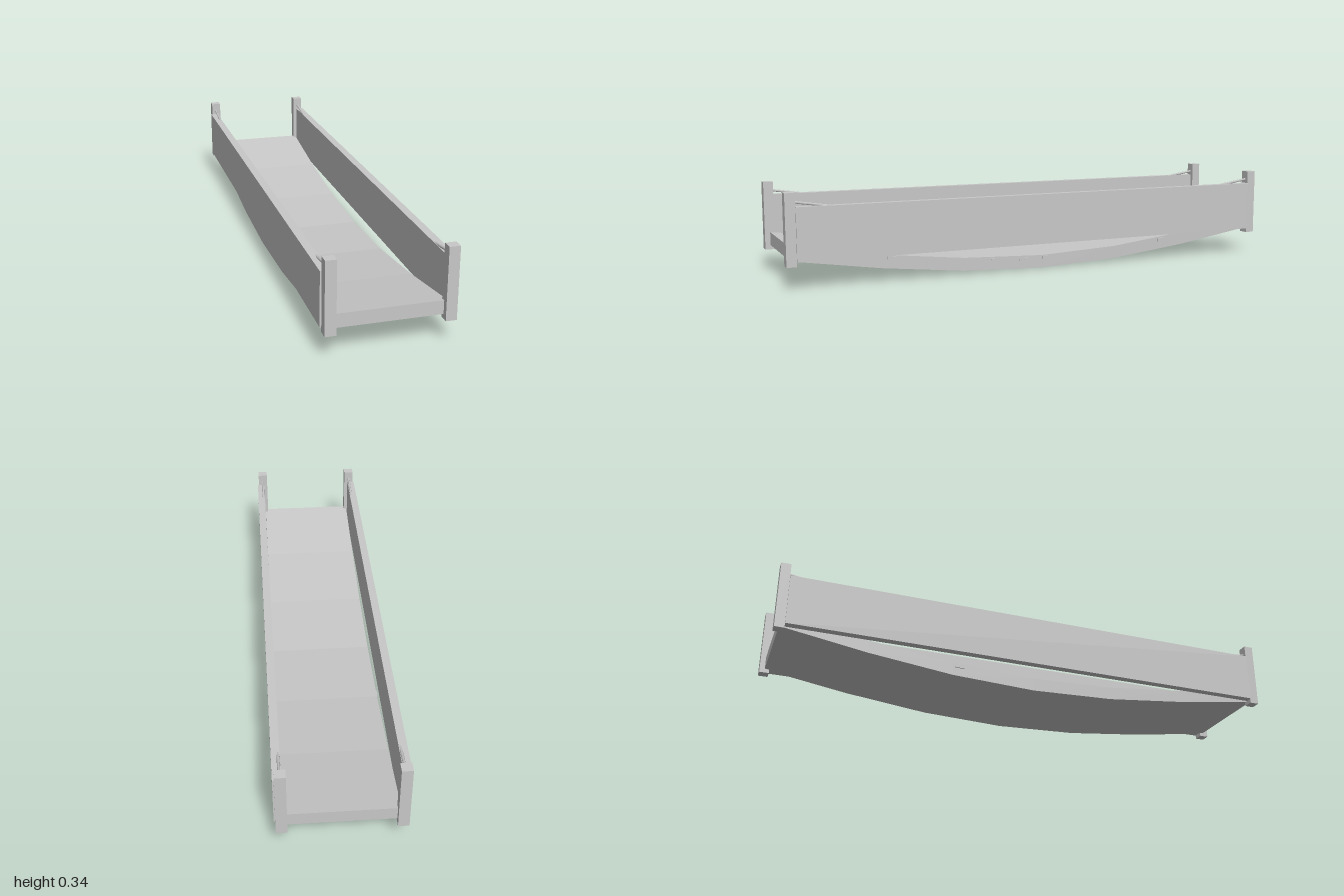
import * as THREE from 'three';

export function createModel() {
  const bridge = new THREE.Group();
  bridge.name = 'footbridge';
  const grey = new THREE.MeshStandardMaterial({ color: 0xc8c8c8 });
  grey.name = 'grey';

  const add = (name, geometry, x = 0, y = 0, z = 0) => {
    const mesh = new THREE.Mesh(geometry, grey);
    mesh.name = name;
    mesh.position.set(x, y, z);
    bridge.add(mesh);
    return mesh;
  };

  // Height of the sagging curve above its lowest point
  const halfLength = 0.98;
  const sag = (z) => 0.1 * (1 - Math.cos((z / halfLength) * Math.PI / 2));

  // Sagging deck: six straight spans, swept down at the middle
  const deckGeometry = new THREE.BoxGeometry(0.394, 0.05, halfLength * 2, 1, 1, 6).toNonIndexed();
  const p = deckGeometry.attributes.position;
  for (let i = 0; i < p.count; i++) p.setY(i, p.getY(i) + 0.025 + sag(p.getZ(i)));
  deckGeometry.computeVertexNormals();
  add('deck', deckGeometry);

  for (const side of [1, -1]) {
    const label = side > 0 ? 'left' : 'right';

    // Tall side panel
    add(label + 'SidePanel', new THREE.BoxGeometry(0.03, 0.195, 1.926), side * 0.215, 0.1975, 0);

    // Corner posts
    for (const end of [1, -1]) {
      add(label + (end > 0 ? 'FrontPost' : 'BackPost'),
        new THREE.BoxGeometry(0.039, 0.262, 0.037), side * 0.205, 0.214, end * 0.9815);
    }

    // Hand rope, sagging from post to post inside the panel
    const rope = new THREE.CurvePath();
    for (let i = -3; i < 3; i++) {
      const at = (k) => {
        const z = k * halfLength / 3;
        return new THREE.Vector3(side * 0.206, 0.213 + sag(z), z);
      };
      rope.add(new THREE.LineCurve3(at(i), at(i + 1)));
    }
    add(label + 'HandRope', new THREE.TubeGeometry(rope, 24, 0.005, 6));

    // Small pegs along the deck edge
    const pegs = side > 0 ? [0.61, 0.2, 0.08, -0.02, -0.55] : [-0.3];
    for (const z of pegs) {
      const peg = add(label + 'DeckPeg', new THREE.BoxGeometry(0.008, 0.012, 0.035),
        side * 0.197, sag(z) + 0.04, z);
      peg.rotation.x = -Math.atan(0.16 * Math.sin((z / halfLength) * Math.PI / 2));
    }
  }

  return bridge;
}
